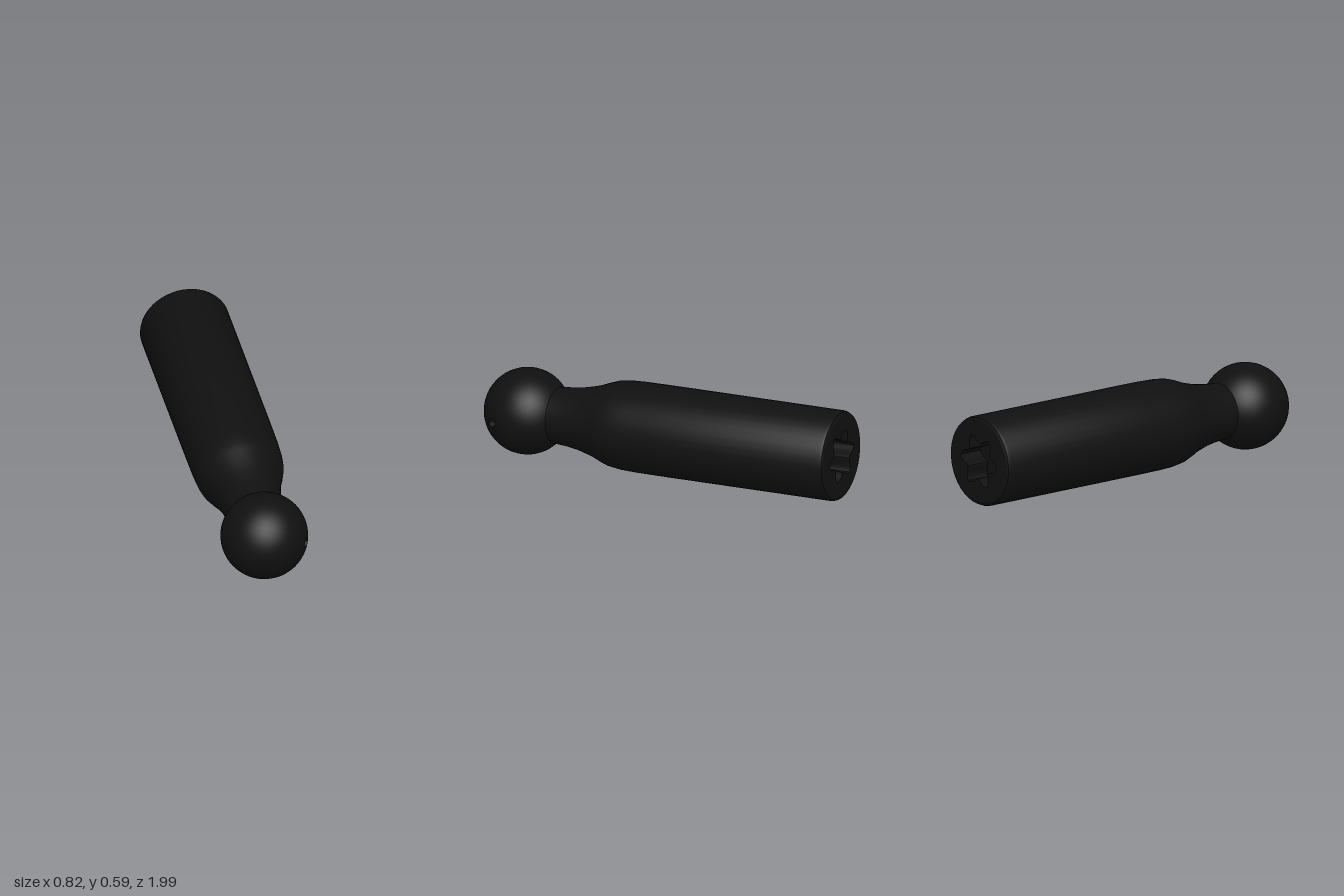
import * as THREE from 'three';
import { toCreasedNormals } from 'three/addons/utils/BufferGeometryUtils.js';

const BALL = new THREE.Vector3(-0.19, 0.224, 0.777);
const END = new THREE.Vector3(0.185, 0.36, -0.945);
const LENGTH = BALL.distanceTo(END);
const BALL_R = 0.222;

export function createModel() {
  const group = new THREE.Group();
  const black = new THREE.MeshStandardMaterial({ color: 0x101010 });
  black.name = 'black';

  const add = (parent, name, geometry) => {
    const mesh = new THREE.Mesh(geometry, black);
    mesh.name = name;
    parent.add(mesh);
    return mesh;
  };
  // Turned part whose axis runs along +z
  const turned = (pairs, segments) => toCreasedNormals(
    new THREE.LatheGeometry(pairs.map(([r, y]) => new THREE.Vector2(r, y)), segments).rotateX(Math.PI / 2), 0.6);

  // Handle: local z runs from the ball to the socket end
  const handle = new THREE.Group();
  handle.name = 'handle';
  handle.position.copy(BALL);
  handle.lookAt(END);
  group.add(handle);

  add(handle, 'shaft', turned([
    [0.142, 0.1], [0.145, 0.18], [0.151, 0.25], [0.162, 0.32], [0.183, 0.4],
    [0.205, 0.455], [0.22, 0.5], [0.228, 0.56], [0.231, 0.64], [0.232, 0.8],
    [0.232, LENGTH - 0.022], [0.226, LENGTH - 0.007], [0.212, LENGTH],
  ], 40));

  // End face with a six-lobed socket
  const depth = 0.13;
  const face = new THREE.Shape().absarc(0, 0, 0.2121, 0, Math.PI * 2);
  const lobes = [];
  for (let i = 0; i < 72; i++) {
    const a = -i / 72 * Math.PI * 2;
    const r = 0.115 + 0.024 * Math.cos(6 * a);
    lobes.push(new THREE.Vector2(r * Math.cos(a), r * Math.sin(a)));
  }
  face.holes.push(new THREE.Path(lobes));
  const cap = new THREE.ExtrudeGeometry(face, { depth, bevelEnabled: false, curveSegments: 20 });
  add(handle, 'endSocket', toCreasedNormals(cap, 0.6)).position.z = LENGTH - depth;
  add(handle, 'socketFloor', new THREE.CircleGeometry(0.15, 32)).position.z = LENGTH - depth;

  // Ball, turned about the axis of its small pin hole
  const profile = [];
  const hole = 0.026;
  const rim = Math.PI - Math.asin(hole / BALL_R);
  for (let i = 0; i <= 28; i++) {
    const a = rim * i / 28;
    profile.push([BALL_R * Math.sin(a), -BALL_R * Math.cos(a)]);
  }
  profile.push([hole, 0.16], [0, 0.15]);
  const ball = add(group, 'ball', turned(profile, 40));
  ball.position.copy(BALL);
  ball.lookAt(BALL.clone().add(new THREE.Vector3(0.165, -0.006, 0.148)));

  return group;
}
